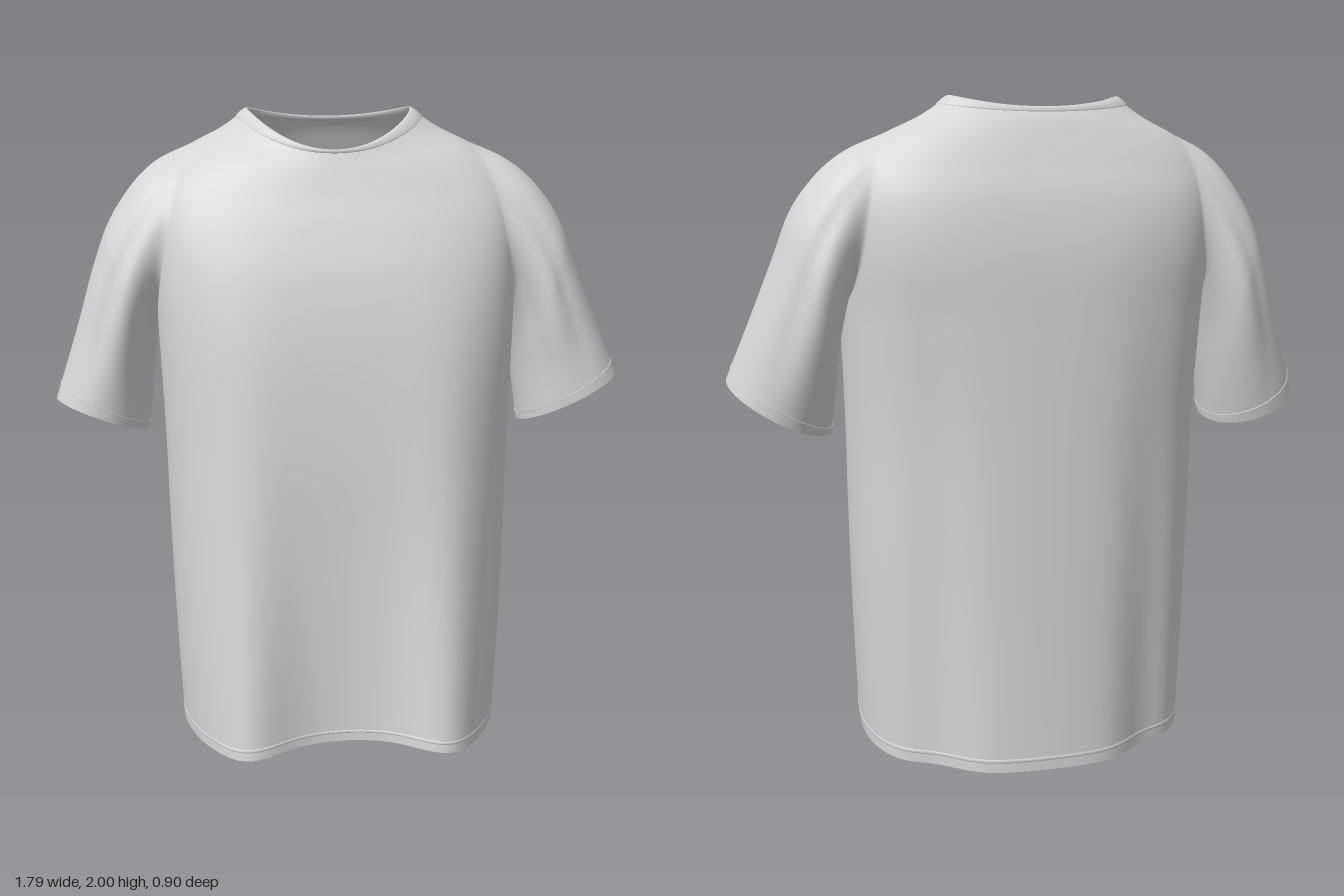
import * as THREE from 'three';

const cloth = new THREE.MeshStandardMaterial({ color: 0xd6d6d6, side: THREE.DoubleSide });
cloth.name = 'lightGreyCloth';

const TAU = Math.PI * 2;
const spow = (v, p) => Math.sign(v) * Math.pow(Math.abs(v), p);
const bump = (v, centre, width) => Math.exp(-(((v - centre) / width) ** 2));

// Smooth interpolation through rows of section parameters, t from 0 to 1
function rowSampler(rows) {
  const at = rows.map((_, i) => i / (rows.length - 1));
  const spline = new THREE.CubicInterpolant(at, rows.flat(), rows[0].length);
  return (t) => Array.from(spline.evaluate(t));
}

// Surface through closed rings; each ring is a function of the angle
function loft(rings, sides, flip, isHole = () => false) {
  const pos = [], index = [];
  for (const ring of rings) {
    for (let j = 0; j < sides; j++) pos.push(...ring((j / sides) * TAU).toArray());
  }
  for (let i = 0; i < rings.length - 1; i++) {
    for (let j = 0; j < sides; j++) {
      if (isHole((i + 0.5) / (rings.length - 1), ((j + 0.5) / sides) * TAU)) continue;
      const k = (j + 1) % sides;
      const a = i * sides + j, b = i * sides + k, c = a + sides, d = b + sides;
      if (flip) index.push(a, b, c, b, d, c);
      else index.push(a, c, b, b, c, d);
    }
  }
  const geo = new THREE.BufferGeometry();
  geo.setAttribute('position', new THREE.Float32BufferAttribute(pos, 3));
  geo.setIndex(index);
  geo.computeVertexNormals();
  return geo;
}

// Point on a surface pushed out along its normal by d
function offset(surface, t, angle, d, flip) {
  const e = 0.004, t0 = Math.min(t, 1 - e);
  const p = surface(t, angle);
  const up = surface(t0 + e, angle).sub(surface(t0, angle));
  const round = surface(t, angle + e).sub(surface(t, angle - e));
  const n = up.cross(round).normalize().multiplyScalar(flip ? -d : d);
  return p.add(n);
}

const spread = (from, to, count) =>
  Array.from({ length: count + 1 }, (_, i) => from + ((to - from) * i) / count);

// Torso sections: yFront, ySide, yBack, half width, zFront, zBack, zSide, squareness, front folds
const torsoRow = rowSampler([
  [0.09, 0.025, 0.00, 0.518, 0.36, -0.445, -0.02, 2.45, 0.14],
  [0.35, 0.32, 0.30, 0.53, 0.35, -0.435, -0.02, 2.45, 0.113],
  [0.70, 0.68, 0.66, 0.54, 0.335, -0.425, -0.03, 2.45, 0.075],
  [1.02, 1.02, 1.02, 0.545, 0.32, -0.415, -0.04, 2.5, 0.042],
  [1.32, 1.34, 1.34, 0.555, 0.29, -0.405, -0.06, 2.75, 0.018],
  [1.52, 1.54, 1.55, 0.56, 0.25, -0.395, -0.09, 3.0, 0.004],
  [1.66, 1.69, 1.70, 0.56, 0.20, -0.37, -0.11, 2.95, 0],
  [1.76, 1.80, 1.80, 0.53, 0.155, -0.335, -0.13, 2.65, 0],
  [1.83, 1.88, 1.875, 0.45, 0.125, -0.305, -0.145, 2.4, 0],
  [1.865, 1.94, 1.93, 0.335, 0.11, -0.28, -0.155, 2.2, 0],
  [1.89, 1.997, 1.965, 0.252, 0.10, -0.255, -0.16, 2.1, 0],
]);

function torso(t, angle) {
  const [yF, yS, yB, a, zF, zB, zS, n, fold] = torsoRow(t);
  const c = Math.cos(angle), s = Math.sin(angle);
  const x = a * spow(c, 2 / n);
  let z = zS + (s > 0 ? zF - zS : zS - zB) * spow(s, 2 / n);
  // Two long drapes down the front, softer ones on the back
  if (s > 0) z += fold * bump(Math.abs(x), 0.33, 0.155) * Math.min(1, s * 2);
  else z += fold * 0.3 * bump(Math.abs(x), 0.33, 0.09) * Math.min(1, -s * 2.5);
  const y = yS + ((s > 0 ? yF : yB) - yS) * Math.pow(Math.abs(s), 0.9 + 1.1 * t);
  return new THREE.Vector3(x - 0.012 - 0.016 * t * t, y, z);
}

// Armhole: an oval on the torso surface
const ARMHOLE = { t: 0.615, height: 0.215, angle: 0.6 };
function armhole(side, angle, size) {
  const t = ARMHOLE.t + ARMHOLE.height * size * Math.cos(angle);
  const turn = ARMHOLE.angle * size * Math.sin(angle);
  return torso(t, side > 0 ? turn : Math.PI - turn);
}
function insideArmhole(t, angle) {
  const turn = Math.asin(Math.sin(angle));
  return Math.hypot((t - ARMHOLE.t) / ARMHOLE.height, turn / ARMHOLE.angle) < 0.6;
}

// Sleeve sections: upper x, y, lower x, y, z centre, half depth
const sleeveRow = {
  1: rowSampler([
    [0.44, 1.88, 0.51, 1.37, -0.11, 0.215],
    [0.585, 1.825, 0.53, 1.34, -0.105, 0.222],
    [0.675, 1.70, 0.553, 1.28, -0.10, 0.226],
    [0.742, 1.53, 0.563, 1.20, -0.09, 0.222],
    [0.814, 1.35, 0.57, 1.11, -0.075, 0.205],
    [0.89, 1.165, 0.58, 1.01, -0.053, 0.186],
  ]),
  '-1': rowSampler([
    [0.48, 1.88, 0.53, 1.37, -0.11, 0.215],
    [0.615, 1.83, 0.55, 1.34, -0.105, 0.222],
    [0.70, 1.695, 0.578, 1.28, -0.105, 0.226],
    [0.765, 1.53, 0.59, 1.19, -0.10, 0.222],
    [0.825, 1.335, 0.60, 1.10, -0.092, 0.205],
    [0.90, 1.11, 0.612, 1.00, -0.078, 0.186],
  ]),
};

const sleeve = (side) => (t, angle) => {
  const [ux, uy, lx, ly, zc, hz] = sleeveRow[side](t);
  // Soft creases running from the shoulder, fading to the cuff
  const crease = 1 - 0.075 * Math.sin(Math.PI * Math.min(1, t * 1.05)) *
    (bump(angle, 1.15, 0.22) + bump(angle, TAU - 1.2, 0.25) + 0.7 * bump(angle, 2.1, 0.3));
  const c = Math.cos(angle) * crease, s = Math.sin(angle) * crease;
  // The cuff tips up a little at the front
  const tube = new THREE.Vector3(
    side * ((ux + lx) / 2 + (c * (ux - lx)) / 2),
    (uy + ly) / 2 + (c * (uy - ly)) / 2 + 0.03 * s * t * t,
    zc + s * hz,
  );
  // The sleeve head leaves the torso smoothly from the armhole
  const blend = Math.pow(Math.sin((Math.min(1, t / 0.5) * Math.PI) / 2), 1.3);
  return armhole(side, angle, 1 - t).lerp(tube, blend);
};

export function createModel() {
  const shirt = new THREE.Group();
  shirt.name = 'tShirt';

  const add = (name, geometry) => {
    const mesh = new THREE.Mesh(geometry, cloth);
    mesh.name = name;
    shirt.add(mesh);
  };
  // Band following a surface: list of [t, distance from the surface]
  const band = (surface, steps, sides, flip) =>
    loft(steps.map(([t, d]) => (angle) => offset(surface, t, angle, d, flip)), sides, flip);
  // Thin raised seam around a surface
  const seam = (surface, t, sides, flip) =>
    band(surface, [[t - 0.002, 0], [t - 0.001, 0.002], [t + 0.001, 0.002], [t + 0.002, 0]], sides, flip);

  // Body with armholes, turned-up hem and hem seam
  add('body', loft(spread(0, 1, 80).map((t) => (angle) => torso(t, angle)), 128, false, insideArmhole));
  add('hemFacing', band(torso, [[0, 0], [0, -0.008], [0.012, -0.008], [0.013, 0]], 128, false));
  add('hemSeam', seam(torso, 0.012, 128, false));

  // Slim neckband, rolled over the neck edge
  add('neckband', band(torso, [
    [0.955, 0], [0.96, 0.003], [0.98, 0.005], [0.995, 0.004], [1, 0.001],
    [1, -0.004], [0.98, -0.007], [0.955, -0.005],
  ], 96, false));

  // Sleeves with cuff facings and seams
  for (const side of [1, -1]) {
    const label = side > 0 ? 'left' : 'right', flip = side > 0;
    const surface = sleeve(side);
    add(label + 'Sleeve', loft(spread(0, 1, 50).map((t) => (angle) => surface(t, angle)), 72, flip));
    add(label + 'CuffFacing', band(surface, [[1, 0], [1, -0.008], [0.96, -0.008], [0.955, 0]], 72, flip));
    add(label + 'CuffSeam', seam(surface, 0.957, 72, flip));
  }
  return shirt;
}
